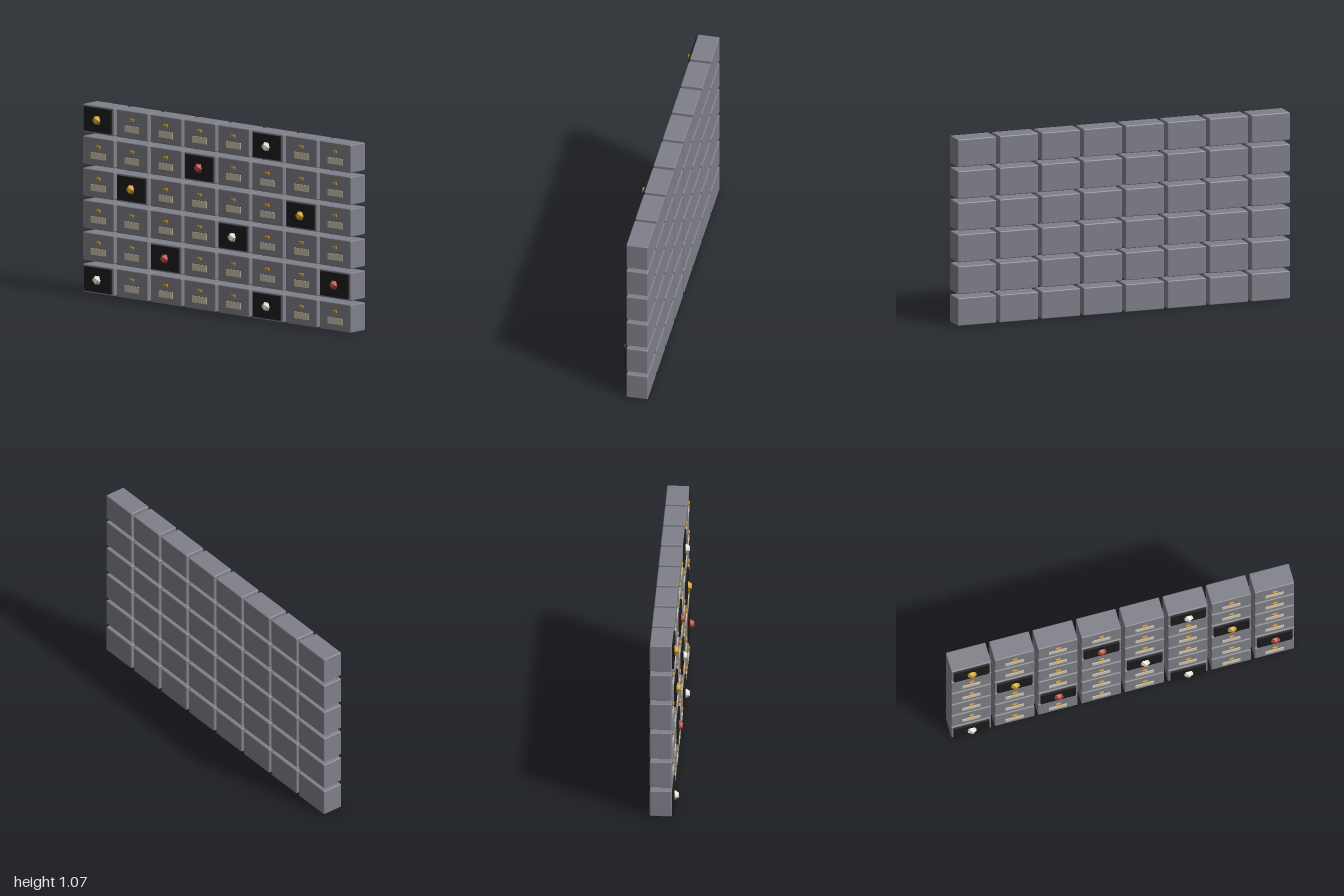
import * as THREE from 'three';
import { RoundedBoxGeometry } from 'three/addons/geometries/RoundedBoxGeometry.js';

const COLS = 8, ROWS = 6;
const W = 0.232, H = 0.16, D = 0.124;
const PITCH_X = (2 - W) / (COLS - 1), PITCH_Y = 0.1825;
const FRONT = 0.046;

// Open display boxes, rows counted from the bottom: 'column,row' -> gem colour
const DISPLAYS = {
  '0,5': 'gold', '5,5': 'pearl', '3,4': 'ruby', '1,3': 'gold', '6,3': 'gold',
  '4,2': 'pearl', '2,1': 'ruby', '7,1': 'ruby', '0,0': 'pearl', '5,0': 'pearl',
};

function material(name, color, flatShading = false) {
  const m = new THREE.MeshStandardMaterial({ color });
  m.name = name;
  m.flatShading = flatShading;
  return m;
}

export function createModel() {
  const model = new THREE.Group();
  model.name = 'depositBoxWall';

  const steel = material('steelGrey', 0x80808a);
  const black = material('displayBlack', 0x1c1c1c);
  const paper = material('labelCream', 0xd0c8b0);
  const brass = material('brass', 0xc08a28);
  const gems = {
    gold: material('gold', 0xcf9c22, true),
    pearl: material('pearl', 0xe2ddd0, true),
    ruby: material('ruby', 0xb0423a, true),
  };

  const boxGeo = new RoundedBoxGeometry(W, H, D, 2, 0.006);
  const panelGeo = new THREE.BoxGeometry(0.205, 0.138, 0.011);
  const labelGeo = new THREE.BoxGeometry(0.106, 0.037, 0.004);
  const knobGeo = new RoundedBoxGeometry(0.032, 0.019, 0.012, 2, 0.005);
  const gemGeo = new THREE.IcosahedronGeometry(0.03, 0);

  const add = (parent, name, geo, mat, x, y, z) => {
    const mesh = new THREE.Mesh(geo, mat);
    mesh.name = name;
    mesh.position.set(x, y, z);
    parent.add(mesh);
  };

  for (let row = 0; row < ROWS; row++) {
    for (let col = 0; col < COLS; col++) {
      const unit = new THREE.Group();
      const gem = DISPLAYS[`${col},${row}`];
      unit.name = gem ? 'displayBox' : 'lockedBox';
      unit.position.set((col - (COLS - 1) / 2) * PITCH_X, H / 2 + row * PITCH_Y, 0);
      model.add(unit);

      add(unit, 'boxBody', boxGeo, steel, 0, 0, FRONT - D / 2);
      if (gem) {
        // Dark backing with a faceted gem
        add(unit, 'displayPanel', panelGeo, black, 0, 0, FRONT + 0.0055);
        add(unit, 'gem', gemGeo, gems[gem], 0, 0, 0.0545);
      } else {
        // Name label below a small lock knob
        add(unit, 'label', labelGeo, paper, 0, -0.024, FRONT + 0.002);
        add(unit, 'knob', knobGeo, brass, 0, 0.028, FRONT + 0.003);
      }
    }
  }
  return model;
}
